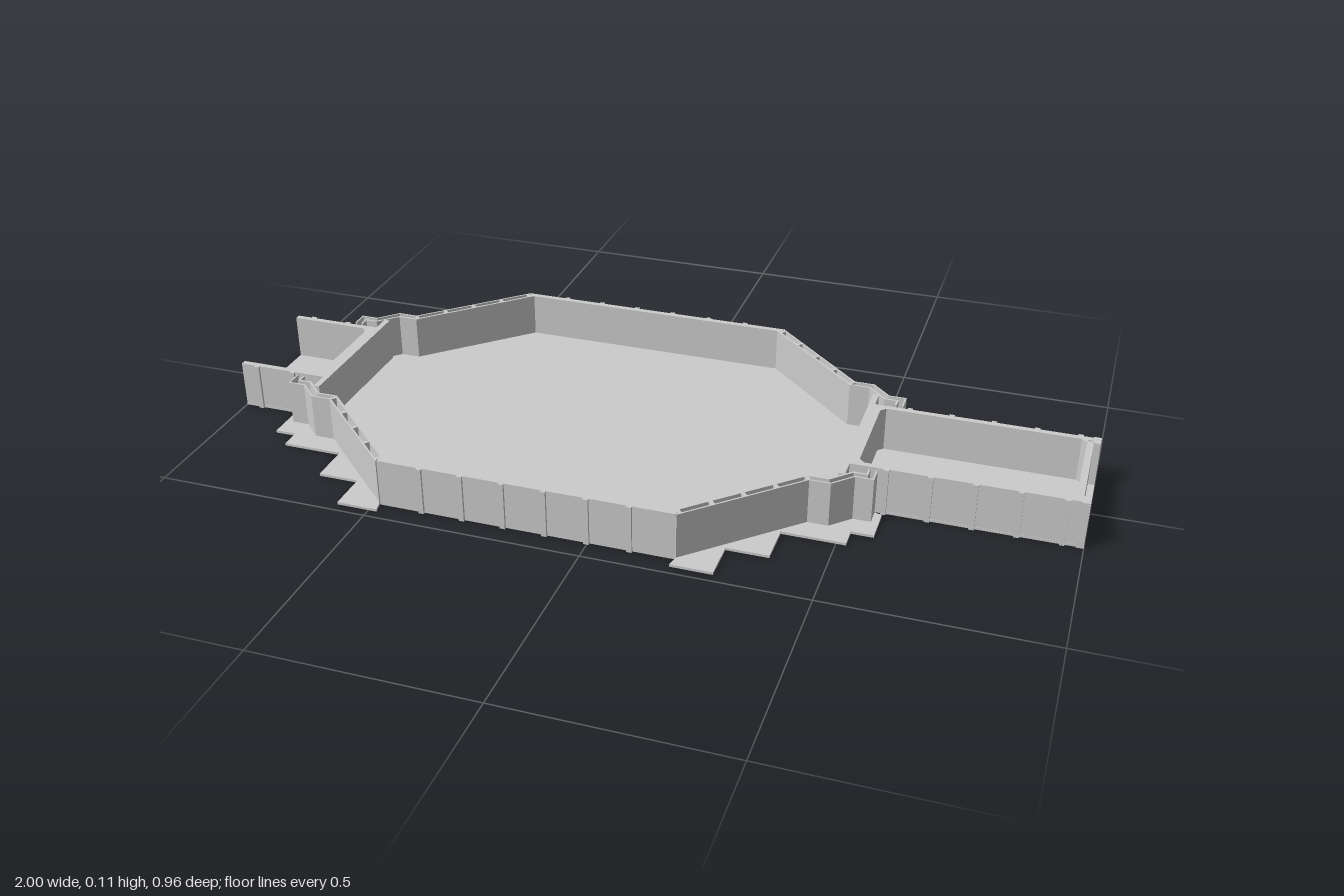
import * as THREE from 'three';

const H = 0.112;        // wall height
const FLOOR = 0.006;    // slab thickness
const CX = -0.145;      // middle of the chamber along x
const STEP = 0.0957;    // spacing of the wall panels
const material = new THREE.MeshStandardMaterial({ color: 0xcccccc, flatShading: true });

// Centre line of one corner wall, as [distance from chamber middle, z]
const cornerPath = [[0.335, 0.443], [0.565, 0.223], [0.612, 0.223], [0.655, 0.18], [0.69, 0.18], [0.69, 0.15]];
// Stepped outer edge of one corner ledge
const ledgeSteps = [[0.717, 0.155], [0.717, 0.24], [0.667, 0.24], [0.667, 0.287], [0.525, 0.287],
  [0.525, 0.383], [0.43, 0.383], [0.43, 0.478], [0.335, 0.478]];

// Mitred parallel copy of a path; positive is outward
function offset(path, d) {
  const normal = (a, b) => new THREE.Vector2(a[1] - b[1], b[0] - a[0]).normalize();
  return path.map((p, i) => {
    const n1 = normal(path[Math.max(i - 1, 0)], path[Math.max(i, 1)]);
    const last = path.length - 1;
    const n2 = normal(path[Math.min(i, last - 1)], path[Math.min(i + 1, last)]);
    const m = n1.clone().add(n2).normalize();
    const k = d / m.dot(n1);
    return [p[0] + m.x * k, p[1] + m.y * k];
  });
}

export function createModel() {
  const model = new THREE.Group();

  const add = (name, geometry, parent = model) => {
    const mesh = new THREE.Mesh(geometry, material);
    mesh.name = name;
    parent.add(mesh);
    return mesh;
  };
  // Upright prism over a plan outline of [x, z] points
  const prism = (name, points, height, parent) => {
    const shape = new THREE.Shape(points.map(([x, z]) => new THREE.Vector2(x, -z)));
    const g = new THREE.ExtrudeGeometry(shape, { depth: height, bevelEnabled: false });
    return add(name, g.rotateX(-Math.PI / 2), parent);
  };
  const block = (name, x0, x1, z0, z1, y0, y1, parent) => {
    const g = new THREE.BoxGeometry(Math.abs(x1 - x0), y1 - y0, Math.abs(z1 - z0));
    return add(name, g.translate((x0 + x1) / 2, (y0 + y1) / 2, (z0 + z1) / 2), parent);
  };
  const place = (points, sx, sz) => points.map(([u, z]) => [CX + sx * u, sz * z]);

  // One floor slab through the chamber and both corridors
  const inner = offset(cornerPath, -0.01);
  const end = (u) => [...inner.slice(0, -1), [0.68, 0.14], [u, 0.14]];
  prism('floor', [
    ...place(end(1.145), 1, 1),
    ...place(end(1.145), 1, -1).reverse(),
    ...place(end(0.855), -1, -1),
    ...place(end(0.855), -1, 1).reverse(),
  ], FLOOR);

  // Hollow corner walls with ledges outside
  for (const sx of [-1, 1]) for (const sz of [-1, 1]) {
    const corner = new THREE.Group();
    corner.name = 'cornerWall';
    model.add(corner);
    const strip = (name, d0, d1) => prism(name,
      place([...offset(cornerPath, d0), ...offset(cornerPath, d1).reverse()], sx, sz), H, corner);
    strip('innerSkin', -0.011, -0.006);
    strip('outerSkin', 0.006, 0.01);

    // Ribs tying the two skins together
    const [a, b] = cornerPath;
    for (let i = 0; i <= 4; i++) {
      const t = 0.02 + i * 0.24;
      const p = [a[0] + (b[0] - a[0]) * t, a[1] + (b[1] - a[1]) * t];
      const q = [p[0] + 0.006, p[1] - 0.006];
      prism('skinRib', place([...offset([p, q], -0.007), ...offset([p, q], 0.007).reverse()], sx, sz), H, corner);
    }
    prism('ledge', place([...offset(cornerPath, 0.009), ...ledgeSteps], sx, sz), FLOOR, corner);
  }

  // Long chamber walls with ribs on the panel joints
  for (const s of [-1, 1]) {
    block('longWall', CX - 0.34, CX + 0.34, s * 0.435, s * 0.449, 0, H);
    for (let i = -3; i < 3; i++) {
      const x = CX + (i + 0.5) * STEP;
      block('longWallRib', x - 0.006, x + 0.006, s * 0.447, s * 0.455, 0, H);
    }
  }

  // Corridors: right one closed, left one open
  for (const [sx, length, ribs] of [[1, 1.145, 5], [-1, 0.855, 2]]) {
    const corridor = new THREE.Group();
    corridor.name = 'corridor';
    model.add(corridor);
    const X = (u) => CX + sx * u;
    block('chamberEndWall', X(0.622), X(0.636), -0.185, 0.185, 0, H, corridor);
    block('corridorBackWall', X(0.636), X(0.653), -0.13, 0.13, 0, H, corridor);
    for (const s of [-1, 1]) {
      block('corridorSideWall', X(0.636), X(length), s * 0.125, s * 0.139, 0, H, corridor);
      for (let i = 0; i < ribs; i++) {
        const u = 0.717 + i * STEP;
        block('corridorRib', X(u - 0.006), X(u + 0.006), s * 0.137, s * 0.145, 0, H, corridor);
      }
      // Chamfered fillet in the back corners
      prism('cornerFillet', [[X(0.652), s * 0.126], [X(0.666), s * 0.126], [X(0.652), s * 0.112]], H, corridor);
    }
    if (sx > 0) {
      block('corridorEndWall', 0.97, 0.985, -0.13, 0.13, 0, H - 0.003, corridor);
      for (const s of [-1, 1]) {
        block('endPost', 0.983, 1, s * 0.115, s * 0.143, 0, H, corridor);
        prism('cornerFillet', [[0.971, s * 0.126], [0.957, s * 0.126], [0.971, s * 0.112]], H, corridor);
      }
    }
  }
  return model;
}
